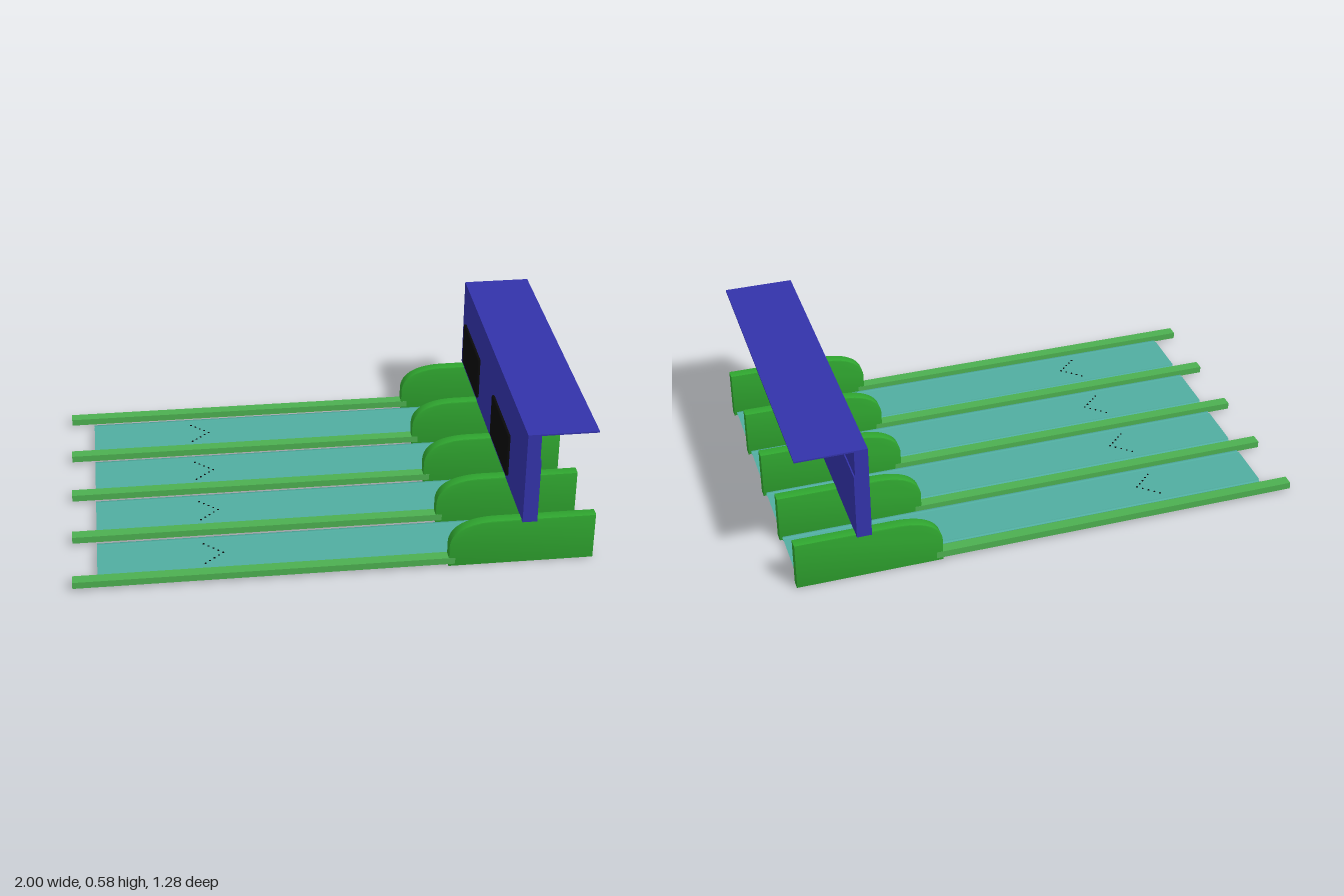
import * as THREE from 'three';
import { RoundedBoxGeometry } from 'three/addons/geometries/RoundedBoxGeometry.js';
import { toCreasedNormals } from 'three/addons/utils/BufferGeometryUtils.js';

const PITCH = 0.302;

export function createModel() {
  const model = new THREE.Group();
  model.name = 'bowlingAlley';

  const blue = new THREE.MeshStandardMaterial({ color: 0x3333aa });
  const green = new THREE.MeshStandardMaterial({ color: 0x2fa52f });
  const railGreen = new THREE.MeshStandardMaterial({ color: 0x4caf50 });
  const teal = new THREE.MeshStandardMaterial({ color: 0x50ada0, side: THREE.DoubleSide });
  const black = new THREE.MeshStandardMaterial({ color: 0x0a0a0a });

  const add = (parent, name, geometry, material, x = 0, y = 0, z = 0) => {
    const mesh = new THREE.Mesh(geometry, material);
    mesh.name = name;
    mesh.position.set(x, y, z);
    parent.add(mesh);
    return mesh;
  };

  // Profile in x/y, extruded along z and centred on it
  const extrude = (shape, depth, bevel = 0) => {
    const g = new THREE.ExtrudeGeometry(shape, {
      depth: depth - 2 * bevel, curveSegments: 16, bevelEnabled: bevel > 0,
      bevelThickness: bevel, bevelSize: bevel, bevelOffset: -bevel, bevelSegments: 2,
    });
    g.translate(0, 0, -depth / 2 + bevel);
    return toCreasedNormals(g, 0.6);
  };

  // Five dividers: a long low rail ending in a tall housing with a rounded nose
  const nose = new THREE.Shape();
  nose.moveTo(0.435, 0);
  nose.lineTo(1, 0);
  nose.lineTo(1, 0.195);
  nose.lineTo(0.62, 0.195);
  nose.bezierCurveTo(0.51, 0.195, 0.435, 0.16, 0.435, 0.085);
  nose.closePath();
  const housing = extrude(nose, 0.043, 0.004);
  const rail = new THREE.BoxGeometry(1.46, 0.027, 0.044);
  for (let i = -2; i <= 2; i++) {
    const divider = new THREE.Group();
    divider.name = 'divider';
    divider.position.z = i * PITCH;
    add(divider, 'rail', rail, railGreen, -0.27, 0.0245);
    add(divider, 'housing', housing, green);
    model.add(divider);
  }

  // Four thin lanes, each with two half-round gutters and a chevron of aiming dots
  const LENGTH = 1.895;
  const bed = new THREE.PlaneGeometry(LENGTH, 0.198).rotateX(-Math.PI / 2);
  const gutter = new THREE.CylinderGeometry(0.01, 0.01, LENGTH, 12, 1, true, Math.PI, Math.PI)
    .rotateZ(Math.PI / 2);
  // Turn the open side of the half pipe upwards
  gutter.computeBoundingBox();
  const { min, max } = gutter.boundingBox;
  if (max.y > 0.005 && min.y > -0.005) gutter.rotateX(Math.PI);
  else if (max.z < 0.005) gutter.rotateX(-Math.PI / 2);
  else if (min.z > -0.005) gutter.rotateX(Math.PI / 2);
  const dot = new THREE.CylinderGeometry(0.004, 0.004, 0.002, 8);
  for (let i = 0; i < 4; i++) {
    const lane = new THREE.Group();
    lane.name = 'lane';
    lane.position.set(0.0425, 0.02, (i - 1.5) * PITCH + 0.01);
    add(lane, 'laneBed', bed, teal);
    for (const s of [-1, 1]) add(lane, 'gutter', gutter, teal, 0, 0, s * 0.105);
    for (let k = -4; k <= 4; k++) {
      add(lane, 'aimingDot', dot, black, -0.4625 - Math.abs(k) * 0.018, 0.0005, k * 0.0165);
    }
    model.add(lane);
  }

  // Wall across the housings, its back slightly stepped below the canopy
  const profile = new THREE.Shape([
    [0.71, 0.192], [0.767, 0.192], [0.767, 0.464], [0.762, 0.464], [0.762, 0.577], [0.71, 0.577],
  ].map(([x, y]) => new THREE.Vector2(x, y)));
  add(model, 'wall', extrude(profile, 1.28), blue);
  add(model, 'canopy', new THREE.BoxGeometry(0.27, 0.006, 1.28), blue, 0.845, 0.574);

  // Two score screens hung in front of the wall
  const screen = new RoundedBoxGeometry(0.012, 0.18, 0.318, 3, 0.005);
  for (const s of [-1, 1]) add(model, 'screen', screen, black, 0.681, 0.38, s * 0.303);

  return model;
}
